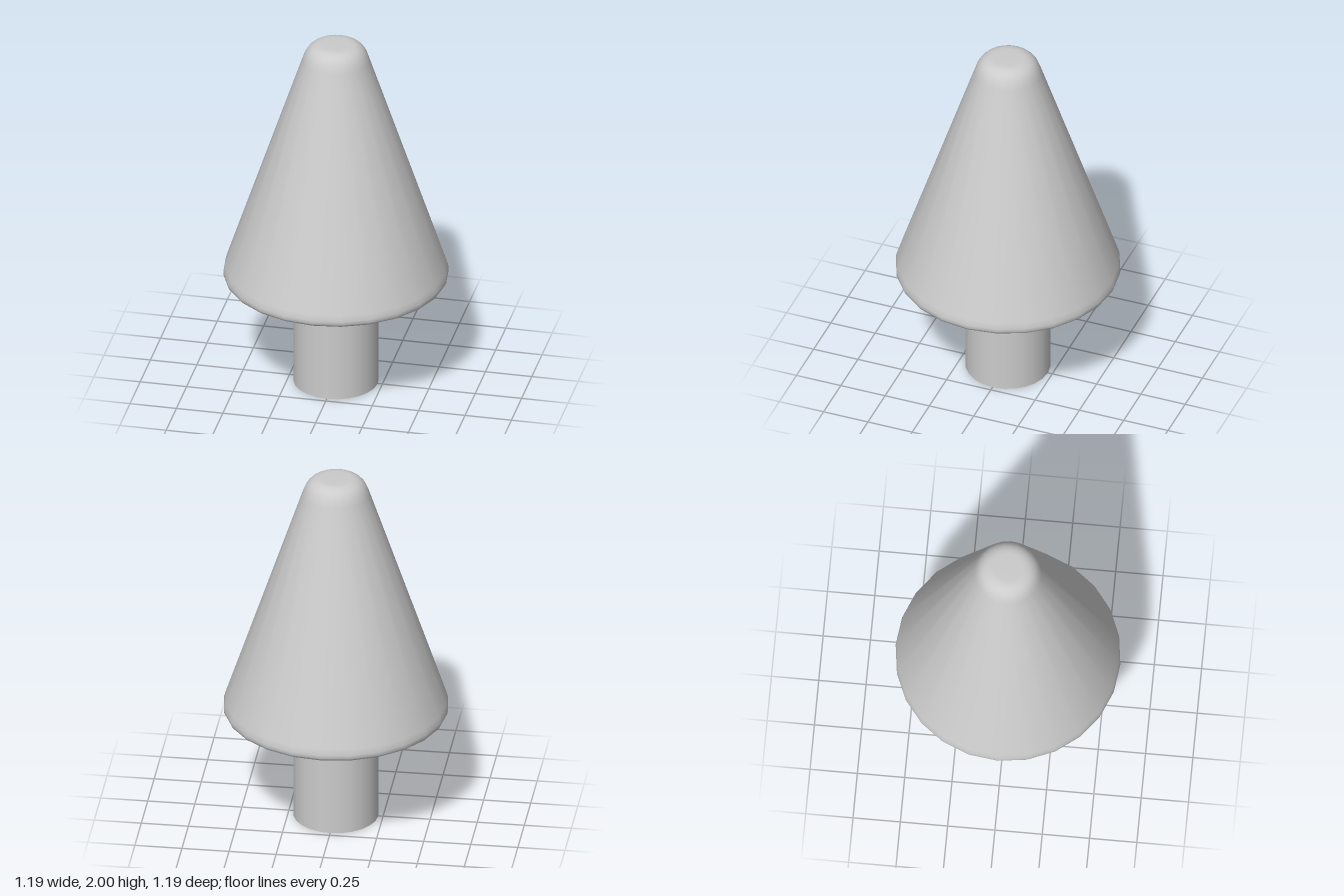
import * as THREE from 'three';

const SIDES = 24;

// Points of a rounded corner from a to b, bending at c
function roundedCorner(a, c, b, steps) {
  const v = (p) => new THREE.Vector2(p[0], p[1]);
  return new THREE.QuadraticBezierCurve(v(a), v(c), v(b)).getPoints(steps);
}

export function createModel() {
  const group = new THREE.Group();
  group.name = 'tree';
  const material = new THREE.MeshStandardMaterial({ color: 0xcccccc });

  // Foliage: a cone with a softened lower rim and blunt rounded tip
  const profile = [
    new THREE.Vector2(0, 0.615),
    new THREE.Vector2(0.545, 0.615), // keeps the underside flat
    ...roundedCorner([0.555, 0.615], [0.61, 0.615], [0.588, 0.68], 5),
    new THREE.Vector2(0.585, 0.689), // keeps the slope straight
    new THREE.Vector2(0.176, 1.911),
    ...roundedCorner([0.173, 1.92], [0.147, 2], [0.075, 2], 6),
    new THREE.Vector2(0, 2),
  ];
  const foliage = new THREE.Mesh(new THREE.LatheGeometry(profile, SIDES), material);
  foliage.name = 'foliage';
  group.add(foliage);

  // Trunk: a plain cylinder reaching just inside the foliage
  const trunkHeight = 0.63;
  const trunk = new THREE.Mesh(
    new THREE.CylinderGeometry(0.225, 0.225, trunkHeight, SIDES),
    material
  );
  trunk.name = 'trunk';
  trunk.position.y = trunkHeight / 2;
  group.add(trunk);

  return group;
}
